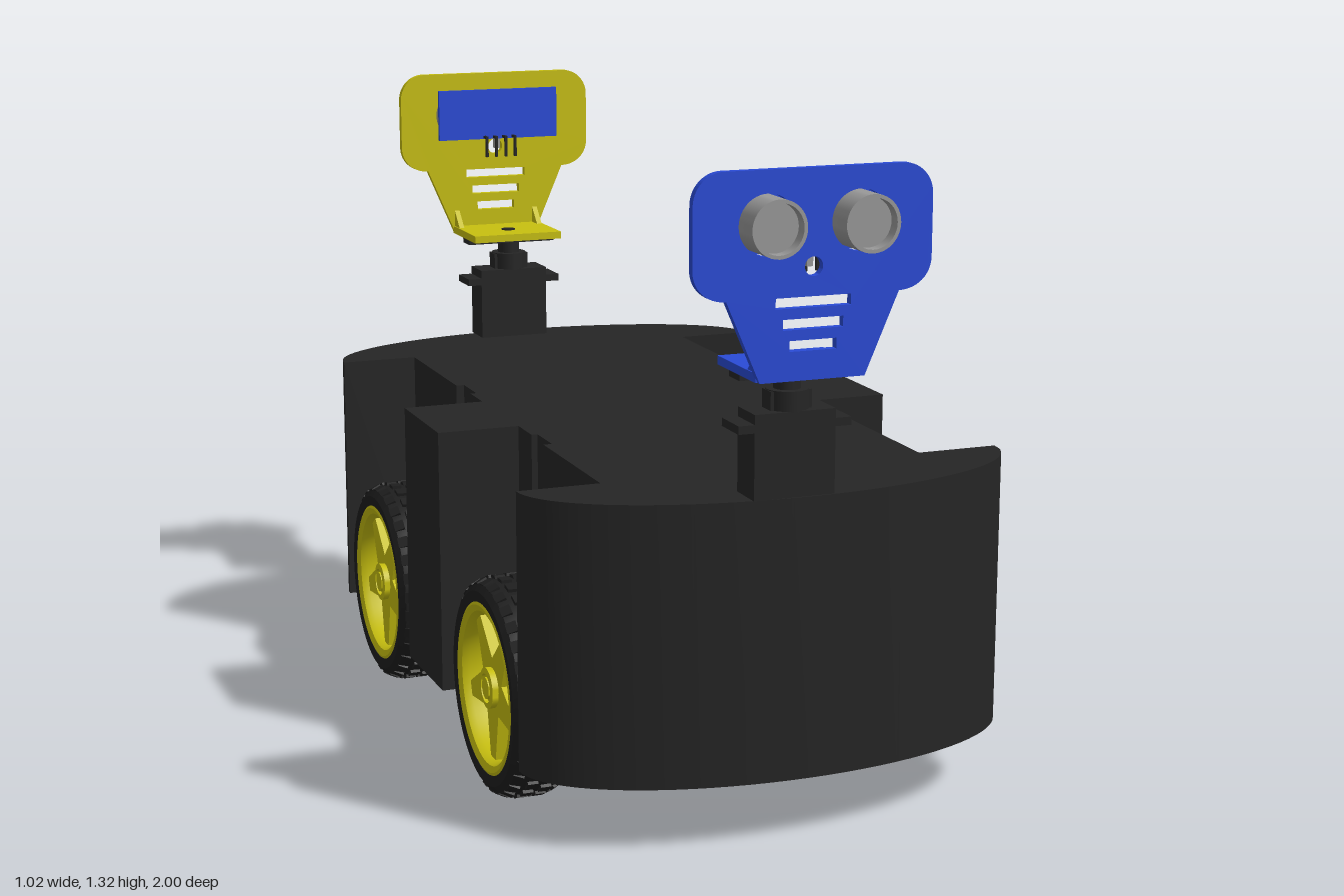
import * as THREE from 'three';
import { mergeGeometries, toCreasedNormals } from 'three/addons/utils/BufferGeometryUtils.js';

const mat = (color) => new THREE.MeshStandardMaterial({ color });
const BLACK = mat(0x252525), TYRE = mat(0x1e1e1e), GREY = mat(0x999999);
const YELLOW = mat(0xc8c010), BLUE = mat(0x2a4bd7);

function add(parent, name, geo, material, x = 0, y = 0, z = 0) {
  const mesh = new THREE.Mesh(geo, material);
  mesh.name = name;
  mesh.position.set(x, y, z);
  parent.add(mesh);
  return mesh;
}

const box = (w, h, d) => new THREE.BoxGeometry(w, h, d);
const cyl = (r, h, n = 32) => new THREE.CylinderGeometry(r, r, h, n);
const extrude = (shape, depth, curveSegments = 24) =>
  new THREE.ExtrudeGeometry(shape, { depth, bevelEnabled: false, curveSegments });

// Surface of revolution around z; profile points are [radius, z]
function turned(profile, segments = 48) {
  const g = new THREE.LatheGeometry(profile.map(([r, z]) => new THREE.Vector2(r, z)), segments);
  return toCreasedNormals(g.rotateX(Math.PI / 2), 0.6);
}

// Chassis: elliptical ends, wheel bays and a wide middle block
function chassisGeometry() {
  const side = [[0.51, 0.125], [0.335, 0.125], [0.335, 0.21], [0.322, 0.21], [0.322, 0.3], [0.34, 0.3], [0.34, 0.635]];
  const quarter = [...side];
  for (let i = 0; i <= 20; i++) {
    const a = (i / 20) * Math.PI / 2;
    quarter.push([0.51 * Math.cos(a), 0.635 + 0.235 * Math.sin(a)]);
  }
  const half = [...quarter, ...quarter.slice(0, -1).reverse().map(([x, z]) => [-x, z])];
  const outline = [...half, ...half.map(([x, z]) => [-x, -z])];
  const shape = new THREE.Shape(outline.map(([x, z]) => new THREE.Vector2(x, z)));
  return toCreasedNormals(extrude(shape, 0.56).rotateX(-Math.PI / 2), 0.4);
}

// Wheel with its axis on z, outer face towards +z
function makeWheel() {
  const wheel = new THREE.Group();
  add(wheel, 'tyre', turned([[0.176, -0.064], [0.198, -0.066], [0.212, -0.056], [0.219, -0.03], [0.22, 0],
    [0.219, 0.03], [0.212, 0.056], [0.198, 0.066], [0.176, 0.064], [0.17, 0], [0.176, -0.064]], 64), TYRE);

  // Staggered tread blocks
  const blocks = [];
  for (let i = 0; i < 32; i++) {
    for (const [row, z] of [-0.046, -0.016, 0.016, 0.046].entries()) {
      const b = box(0.024, 0.012, 0.022);
      b.rotateX(Math.abs(z) > 0.03 ? Math.sign(z) * 0.45 : 0);
      b.translate(0, Math.abs(z) > 0.03 ? 0.212 : 0.2195, z);
      blocks.push(b.rotateZ((i + (row % 2) * 0.5) / 32 * Math.PI * 2));
    }
  }
  add(wheel, 'treadBlocks', mergeGeometries(blocks), TYRE);

  add(wheel, 'rim', turned([[0.162, -0.06], [0.178, -0.062], [0.178, 0.062], [0.17, 0.066],
    [0.157, 0.06], [0.15, 0.045], [0.152, 0], [0.162, -0.06]], 64), YELLOW);

  // Five tapering spokes joined into a star, one pointing down
  const star = [];
  for (let i = 0; i < 5; i++) {
    const a = -Math.PI / 2 + i * Math.PI * 0.4;
    for (const [r, da] of [[0.157, -0.09], [0.157, 0.09], [0.062, Math.PI / 5]]) {
      star.push(new THREE.Vector2(r * Math.cos(a + da), r * Math.sin(a + da)));
    }
  }
  add(wheel, 'spokes', extrude(new THREE.Shape(star), 0.045), YELLOW, 0, 0, 0.0);
  add(wheel, 'hub', turned([[0, -0.055], [0.035, -0.055], [0.042, 0.058], [0.03, 0.06], [0.03, 0.052],
    [0.022, 0.052], [0.022, 0.06], [0, 0.06]], 32), YELLOW);
  add(wheel, 'axle', cyl(0.018, 0.08, 20).rotateX(Math.PI / 2), BLACK, 0, 0, -0.08);
  return wheel;
}

// Sensor face plate outline with eye, nose and mouth openings
function faceShape() {
  const s = new THREE.Shape();
  s.moveTo(-0.105, 0.935);
  s.lineTo(0.105, 0.935);
  s.lineTo(0.172, 1.09);
  s.bezierCurveTo(0.21, 1.09, 0.2375, 1.115, 0.2375, 1.15);
  s.lineTo(0.2375, 1.265);
  s.absarc(0.1775, 1.265, 0.06, 0, Math.PI / 2, false);
  s.lineTo(-0.1775, 1.325);
  s.absarc(-0.1775, 1.265, 0.06, Math.PI / 2, Math.PI, false);
  s.lineTo(-0.2375, 1.15);
  s.bezierCurveTo(-0.2375, 1.115, -0.21, 1.09, -0.172, 1.09);
  for (const [x, y, r] of [[-0.092, 1.225, 0.057], [0.092, 1.225, 0.057], [0, 1.145, 0.018]]) {
    s.holes.push(new THREE.Path().absarc(x, y, r, 0, Math.PI * 2, true));
  }
  for (const [y, w] of [[1.08, 0.075], [1.04, 0.06], [1.0, 0.047]]) {
    s.holes.push(new THREE.Path([[-w, y - 0.01], [-w, y + 0.01], [w, y + 0.01], [w, y - 0.01]]
      .map((p) => new THREE.Vector2(...p))));
  }
  return s;
}

// Servo, bracket and twin-eyed distance sensor, facing +z
function makeSensorHead(color) {
  const head = new THREE.Group();
  const zs = 0.833;

  add(head, 'servoBody', box(0.165, 0.165, 0.08), BLACK, 0, 0.7775, zs);
  add(head, 'servoFlange', box(0.23, 0.016, 0.08), BLACK, 0, 0.833, zs);
  add(head, 'servoGearbox', cyl(0.041, 0.04), BLACK, 0, 0.878, zs);
  add(head, 'servoGearStep', box(0.084, 0.038, 0.04), BLACK, 0, 0.877, zs);
  add(head, 'servoShaft', cyl(0.026, 0.04), BLACK, 0, 0.915, zs);
  add(head, 'servoHorn', box(0.215, 0.012, 0.05), BLACK, 0, 0.929, zs);
  add(head, 'hornScrew', cyl(0.017, 0.022, 20), BLACK, 0, 0.943, zs);

  add(head, 'bracketBase', box(0.218, 0.017, 0.18), color, 0, 0.9435, 0.845);
  add(head, 'bracketFace', toCreasedNormals(extrude(faceShape(), 0.016), 0.5), color, 0, 0, 0.929);
  const rib = new THREE.Shape([[0, 0], [0.04, 0], [0, 0.04]].map((p) => new THREE.Vector2(...p)));
  for (const x of [-0.106, 0.094]) {
    add(head, 'bracketRib', extrude(rib, 0.012).rotateY(Math.PI / 2), color, x, 0.951, 0.93);
  }

  // Sensor board, eyes, crystal and bent header pins
  add(head, 'sensorBoard', box(0.3, 0.12, 0.01), BLUE, 0, 1.227, 0.905);
  for (const x of [-0.092, 0.092]) {
    add(head, 'sensorEye', turned([[0, 0.91], [0.054, 0.91], [0.054, 1.0], [0.047, 1.0],
      [0.047, 0.975], [0, 0.975]], 40), GREY, x, 1.225, 0);
  }
  add(head, 'crystal', box(0.012, 0.036, 0.02), GREY, 0, 1.16, 0.918);
  for (let i = 0; i < 4; i++) {
    const x = (i - 1.5) * 0.024;
    add(head, 'pinTop', box(0.006, 0.006, 0.03), BLACK, x, 1.172, 0.893);
    add(head, 'pinLeg', box(0.006, 0.05, 0.006), BLACK, x, 1.15, 0.881);
  }
  return head;
}

export function createModel() {
  const model = new THREE.Group();
  model.name = 'rover';
  add(model, 'chassis', chassisGeometry(), BLACK, 0, 0.135, 0.007);

  for (const side of [1, -1]) {
    for (const [end, z] of [['front', 0.407], ['rear', -0.393]]) {
      const wheel = makeWheel();
      wheel.name = end + (side > 0 ? 'LeftWheel' : 'RightWheel');
      wheel.position.set(side * 0.442, 0.2275, z);
      wheel.rotation.y = side * Math.PI / 2;
      model.add(wheel);
    }
  }

  for (const [name, color, turn] of [['frontSensorHead', BLUE, 0], ['rearSensorHead', YELLOW, Math.PI]]) {
    const head = makeSensorHead(color);
    head.name = name;
    head.position.x = -0.0375;
    head.rotation.y = turn;
    model.add(head);
  }
  return model;
}
